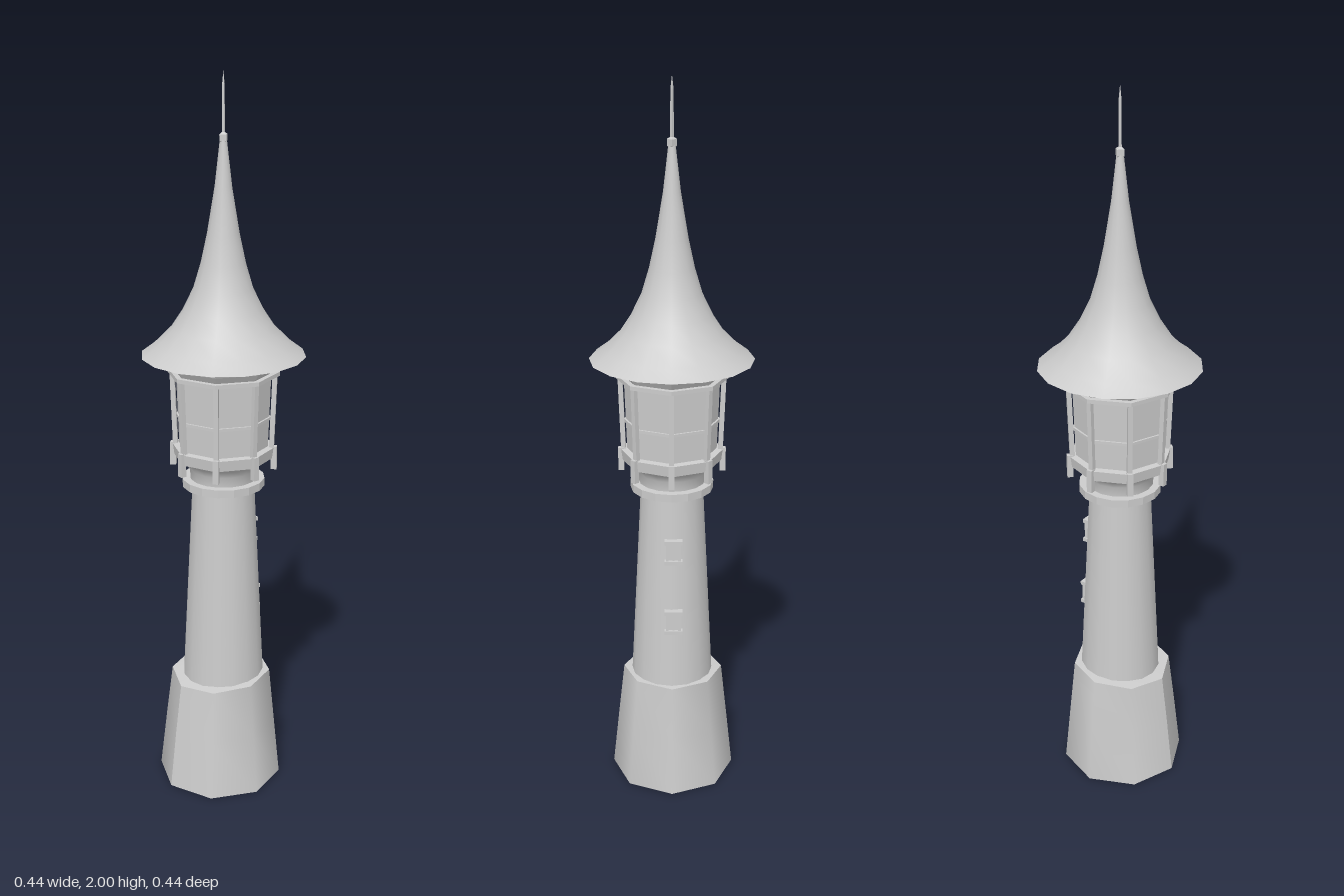
import * as THREE from 'three';

export function createModel() {
  const tower = new THREE.Group();
  tower.name = 'tower';
  const stone = new THREE.MeshStandardMaterial({ color: 0xcccccc, side: THREE.DoubleSide });
  stone.name = 'pale grey';

  const add = (name, geometry, parent = tower) => {
    const mesh = new THREE.Mesh(geometry, stone);
    mesh.name = name;
    parent.add(mesh);
    return mesh;
  };
  // Turned part from [radius, height] pairs, bottom to top
  const turn = (name, pts, sides, flat = false) => {
    let g = new THREE.LatheGeometry(pts.map(p => new THREE.Vector2(p[0], p[1])), sides);
    if (flat) {
      g = g.toNonIndexed();
      g.computeVertexNormals();
    }
    return add(name, g);
  };
  const box = (name, w, h, d, x, y, z, parent) => {
    const m = add(name, new THREE.BoxGeometry(w, h, d), parent);
    m.position.set(x, y, z);
    return m;
  };

  // Rough-topped foot: leans a little to the front, rim higher at the back
  const lean = g => {
    const p = g.attributes.position;
    for (let i = 0; i < p.count; i++) {
      const y = p.getY(i), z = p.getZ(i), x = p.getX(i);
      if (y > 0.2) p.setY(i, y - z * 0.06 + Math.abs(x) * 0.04);
      p.setX(i, x - 0.002);
      p.setZ(i, z + 0.012 * (1 - y));
    }
    g.computeVertexNormals();
  };
  lean(turn('foot', [[0.176, 0], [0.158, 0.17], [0.141, 0.32]], 8).geometry);
  lean(turn('footLedge', [[0.141, 0.32], [0.105, 0.324]], 8).geometry);

  // Tapering shaft and collar
  turn('shaft', [[0.117, 0.28], [0.101, 0.6], [0.086, 0.9]], 16);
  turn('collar', [[0.08, 0.895], [0.114, 0.895], [0.114, 0.917], [0.08, 0.917]], 16, true);
  turn('neck', [[0.092, 0.915], [0.094, 0.945], [0.108, 0.965], [0.128, 0.982]], 16);

  // Octagonal lantern room
  turn('galleryRing', [[0.1, 0.978], [0.138, 0.978], [0.142, 1.008], [0.12, 1.01]], 8, true);
  turn('lanternWall', [[0.122, 1.0], [0.13, 1.225]], 8, true);
  turn('middleRail', [[0.124, 1.087], [0.131, 1.087], [0.131, 1.095], [0.124, 1.095]], 8, true);
  turn('topRing', [[0.12, 1.211], [0.153, 1.211], [0.153, 1.222], [0.12, 1.222]], 8, true);
  turn('crown', [[0.138, 1.222], [0.15, 1.24], [0.163, 1.268]], 8, true);

  // Posts and hanging brackets at each corner
  for (let i = 0; i < 8; i++) {
    const corner = new THREE.Group();
    corner.name = 'corner' + (i + 1);
    corner.rotation.y = i * Math.PI / 4;
    tower.add(corner);
    const post = box('post', 0.013, 0.215, 0.013, 0, 1.11, 0.136, corner);
    post.rotation.x = 0.035;
    box('bracket', 0.016, 0.065, 0.016, 0, 0.979, 0.139, corner);
  }

  // Flared roof with its underside
  turn('roof', [[0.222, 1.265], [0.185, 1.293], [0.14, 1.338], [0.108, 1.387], [0.08, 1.445],
    [0.06, 1.512], [0.043, 1.59], [0.023, 1.71], [0.008, 1.84]], 16);
  turn('soffit', [[0.12, 1.268], [0.222, 1.265]], 16);

  // Finial
  turn('finialKnob', [[0, 1.815], [0.013, 1.825], [0.013, 1.842], [0, 1.85]], 4, true);
  turn('spike', [[0.005, 1.845], [0.004, 1.965], [0, 2]], 4, true);

  // Two small framed windows on the back of the shaft
  [[0.74, 0.096], [0.53, 0.107]].forEach(([y, r], i) => {
    const win = new THREE.Group();
    win.name = 'window' + (i + 1);
    win.position.set(-0.005, y, -r);
    tower.add(win);
    box('pane', 0.03, 0.052, 0.008, 0, 0, 0.002, win);
    box('lintel', 0.05, 0.011, 0.022, 0, 0.03, 0, win);
    box('sill', 0.05, 0.011, 0.022, 0, -0.03, 0, win);
    for (const s of [-1, 1]) box('jamb', 0.008, 0.052, 0.016, s * 0.017, 0, 0, win);
    box('mullion', 0.005, 0.052, 0.012, 0, 0, 0, win);
  });

  return tower;
}
